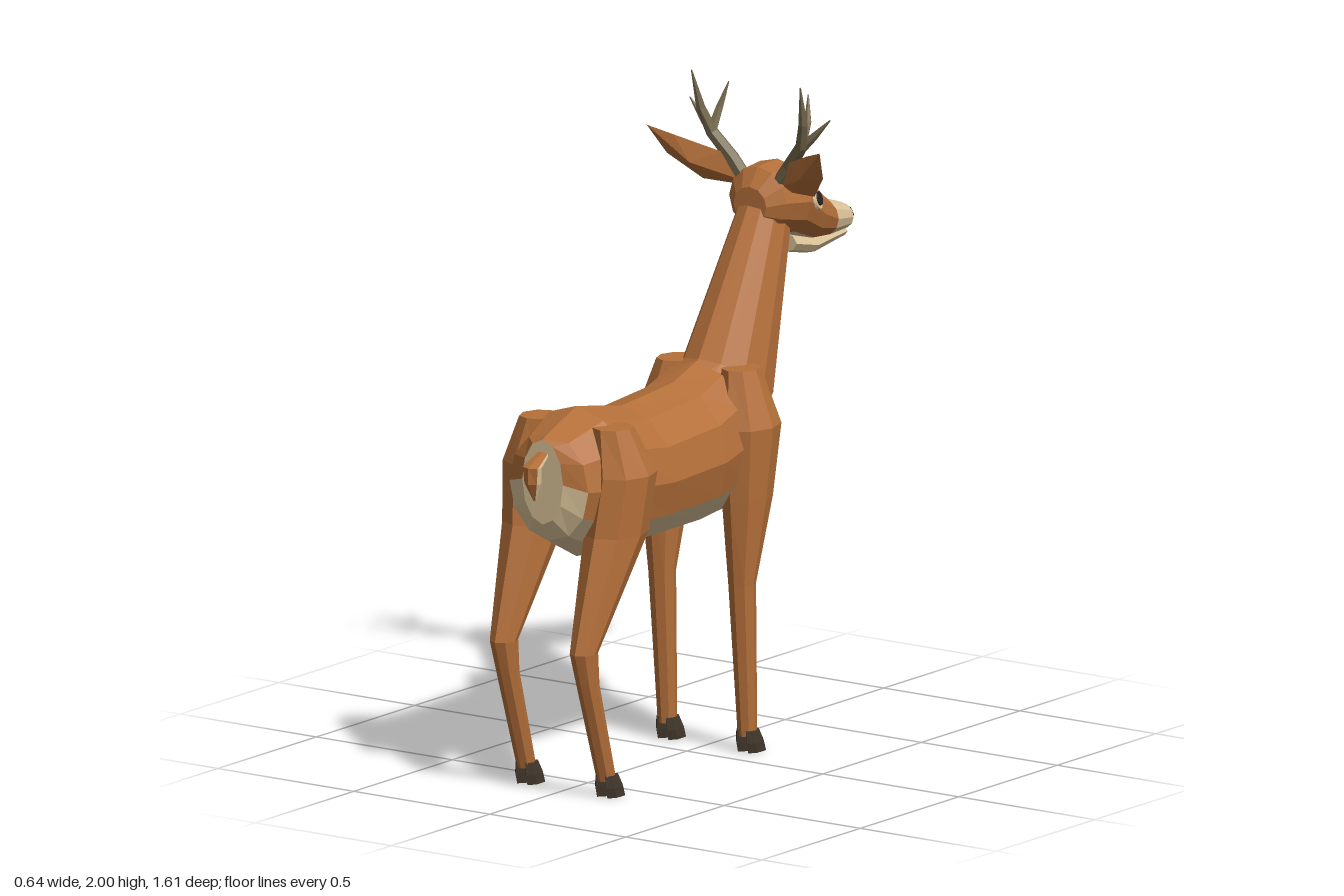
import * as THREE from 'three';

const mat = (name, color) => Object.assign(new THREE.MeshStandardMaterial({ color }), { name });
const V = (x, y, z) => new THREE.Vector3(x, y, z);

// Flat-shaded closed mesh from triangles sorted by material; faces are turned outward
function solid(name, mats, lists) {
  const tris = lists.flat();
  const volume = tris.reduce((s, [a, b, c]) => s + a.dot(b.clone().cross(c)), 0);
  const points = tris.flatMap(([a, b, c]) => (volume < 0 ? [a, c, b] : [a, b, c]));
  const geo = new THREE.BufferGeometry().setFromPoints(points);
  let start = 0;
  lists.forEach((list, m) => {
    if (list.length) geo.addGroup(start, list.length * 3, m);
    start += list.length * 3;
  });
  geo.computeVertexNormals();
  const mesh = new THREE.Mesh(geo, mats);
  mesh.name = name;
  return mesh;
}

// Skin over rings; pick(i, j) gives the material index of segment i, side j (i = -1 and last are caps)
function loft(name, mats, rings, pick = () => 0) {
  const lists = mats.map(() => []);
  const n = rings[0].length, last = rings.length - 1;
  for (let i = 0; i < last; i++) {
    for (let j = 0; j < n; j++) {
      const k = (j + 1) % n, [p, q] = [rings[i], rings[i + 1]];
      lists[pick(i, j)].push([p[j], p[k], q[k]], [p[j], q[k], q[j]]);
    }
  }
  for (let j = 1; j < n - 1; j++) {
    const [p, q] = [rings[0], rings[last]];
    lists[pick(-1, j)].push([p[0], p[j + 1], p[j]]);
    lists[pick(last, j)].push([q[0], q[j], q[j + 1]]);
  }
  return solid(name, mats, lists);
}

// Elliptic ring around c with half axes a and b
const ring = (c, a, b, n) => Array.from({ length: n }, (_, j) => {
  const t = (j / n) * Math.PI * 2;
  return c.clone().addScaledVector(a, Math.cos(t)).addScaledVector(b, Math.sin(t));
});
const ringZ = ([z, y, rx, ry], n = 12) => ring(V(0, y, z), V(0, ry, 0), V(rx, 0, 0), n);
const ringY = ([y, x, z, rx, rz], s, n = 8) => ring(V(x * s, y, z), V(0, 0, rz), V(rx, 0, 0), n);

// Tapered branch through points [x, y, z, radius]
function branch(name, m, pts, s) {
  const c = pts.map((p) => V(p[0] * s, p[1], p[2]));
  return loft(name, [m], c.map((p, i) => {
    const t = c[Math.min(i + 1, c.length - 1)].clone().sub(c[Math.max(i - 1, 0)]).normalize();
    const a = V(0, 0, 1).cross(t).normalize();
    const b = t.clone().cross(a);
    return ring(p, a.multiplyScalar(pts[i][3]), b.multiplyScalar(pts[i][3]), 6);
  }));
}

export function createModel() {
  const coat = mat('coat', 0xb5703a);
  const cream = mat('cream', 0xdcc49a);
  const horn = mat('horn', 0x75684c);
  const hoof = mat('hoof', 0x42372c);
  const dark = mat('dark', 0x2a2320);
  const fur = [coat, cream];
  const deer = new THREE.Group();
  deer.name = 'deer';
  const under = (j) => (j >= 4 && j <= 7 ? 1 : 0);

  // Torso with pale belly and rump patch
  deer.add(loft('torso', fur, [
    [0.732, 0.965, 0.075, 0.13], [0.7, 0.945, 0.145, 0.165], [0.56, 0.935, 0.2, 0.23],
    [0.33, 0.915, 0.2, 0.207], [0.07, 0.925, 0.2, 0.217], [-0.05, 0.95, 0.19, 0.235],
    [-0.2, 0.95, 0.13, 0.17],
  ].map((r) => ringZ(r)), (i, j) => (i < 0 || (i === 0 && j >= 3 && j <= 8) ? 1 : i > 5 ? 0 : under(j))));

  // Neck: [back y, back z, front y, front z, half width]
  deer.add(loft('neck', fur, [
    [1.13, 0.02, 0.86, -0.265, 0.12], [1.19, -0.06, 1.02, -0.35, 0.135],
    [1.61, -0.31, 1.5, -0.47, 0.08],
  ].map(([by, bz, fy, fz, w]) => ring(V(0, (by + fy) / 2, (bz + fz) / 2),
    V(0, (by - fy) / 2, (bz - fz) / 2), V(w, 0, 0), 12)), (i, j) => (i < 0 ? 1 : under(j))));

  // Head with pale muzzle and chin
  deer.add(loft('head', fur, [
    [-0.32, 1.61, 0.06, 0.055], [-0.36, 1.62, 0.105, 0.1], [-0.46, 1.61, 0.125, 0.115],
    [-0.58, 1.545, 0.092, 0.09], [-0.685, 1.505, 0.063, 0.058], [-0.785, 1.49, 0.045, 0.04],
  ].map((r) => ringZ(r)), (i, j) => (i >= 4 || (i >= 2 && (j === 5 || j === 6)) ? 1 : 0)));
  deer.add(loft('jaw', [cream], [
    [-0.49, 1.465, 0.05, 0.03], [-0.6, 1.44, 0.05, 0.03], [-0.775, 1.447, 0.03, 0.017],
  ].map((r) => ringZ(r, 8))));
  deer.add(loft('nose', [dark], [
    [-0.77, 1.5, 0.035, 0.022], [-0.792, 1.495, 0.042, 0.03], [-0.808, 1.488, 0.02, 0.014],
  ].map((r) => ringZ(r, 8))));

  // Tail, coat-coloured along its outer ridge
  deer.add(loft('tail', fur, [
    [1.06, 0.715, 0.02, 0.012], [1.02, 0.785, 0.032, 0.02], [0.97, 0.78, 0.026, 0.025],
    [0.915, 0.772, 0.004, 0.004],
  ].map((r) => ringY([r[0], 0, r[1], r[2], r[3]], 1, 6)), (i, j) => (j === 0 || j === 5 ? 0 : 1)));

  for (const [s, side] of [[1, 'left'], [-1, 'right']]) {
    // Legs: [y, x, z, half width, half depth]
    const legs = {
      FrontLeg: [[1.17, 0.12, -0.11, 0.055, 0.065], [1.0, 0.152, -0.11, 0.085, 0.11],
        [0.78, 0.15, -0.1, 0.07, 0.087], [0.52, 0.147, -0.078, 0.042, 0.042],
        [0.05, 0.147, -0.105, 0.029, 0.03]],
      HindLeg: [[1.12, 0.135, 0.56, 0.06, 0.065], [0.98, 0.165, 0.542, 0.088, 0.112],
        [0.8, 0.15, 0.565, 0.088, 0.112], [0.46, 0.147, 0.725, 0.04, 0.047],
        [0.36, 0.147, 0.705, 0.034, 0.036], [0.05, 0.147, 0.61, 0.029, 0.03]],
    };
    for (const [name, rows] of Object.entries(legs)) {
      deer.add(loft(side + name, [coat], rows.map((r) => ringY(r, s))));
      // Two-toed hoof
      const z = rows[rows.length - 1][2];
      for (const dx of [-0.019, 0.019]) {
        deer.add(loft(side + name + 'Hoof', [hoof], [
          [0, 0.147 + dx, z - 0.022, 0.02, 0.044], [0.03, 0.147 + dx, z - 0.013, 0.02, 0.042],
          [0.068, 0.147 + dx * 0.85, z - 0.002, 0.017, 0.032],
        ].map((r) => ringY(r, s, 6))));
      }
    }

    // Ear: rim from base round the upper edge to the tip and back, cupped forward
    const rim = [[0.085, 1.67, -0.37], [0.125, 1.752, -0.345], [0.245, 1.802, -0.27],
      [0.318, 1.828, -0.235], [0.287, 1.735, -0.295], [0.205, 1.655, -0.365], [0.11, 1.65, -0.385],
    ].map(([x, y, z]) => V(x * s, y, z));
    const back = V(0.2 * s, 1.718, -0.29), inner = V(0.2 * s, 1.728, -0.315);
    const fan = (hub, flip) => rim.map((p, i) => {
      const q = rim[(i + 1) % rim.length];
      return flip ? [hub, q, p] : [hub, p, q];
    });
    deer.add(solid(side + 'Ear', fur, [fan(back, false), fan(inner, true)]));

    // Antler: main beam and two tines
    deer.add(branch(side + 'AntlerBeam', horn, [[0.06, 1.67, -0.38, 0.024], [0.105, 1.73, -0.375, 0.023],
      [0.165, 1.805, -0.355, 0.02], [0.188, 1.88, -0.33, 0.015], [0.2, 2.0, -0.3, 0.002]], s));
    deer.add(branch(side + 'AntlerInnerTine', horn, [[0.165, 1.81, -0.355, 0.016],
      [0.162, 1.875, -0.39, 0.012], [0.146, 1.95, -0.415, 0.002]], s));
    deer.add(branch(side + 'AntlerOuterTine', horn, [[0.16, 1.795, -0.357, 0.016],
      [0.205, 1.84, -0.365, 0.012], [0.258, 1.895, -0.372, 0.002]], s));

    // Eye: thin pale patch with a dark eye on it
    const normal = V(0.91 * s, 0.26, -0.385).normalize();
    for (const [name, m, r, lift] of [['EyePatch', cream, 0.041, 0.002], ['Eye', dark, 0.027, 0.007]]) {
      const eye = new THREE.Mesh(new THREE.CylinderGeometry(r * 0.92, r, 0.009, 10).scale(0.85, 1, 1), m);
      eye.name = side + name;
      const along = V(0, 0, 1).addScaledVector(normal, -normal.z).normalize();
      const across = normal.clone().cross(along);
      eye.setRotationFromMatrix(new THREE.Matrix4().makeBasis(across, normal, along));
      eye.position.set(0.101 * s, 1.604, -0.521).addScaledVector(normal, lift);
      deer.add(eye);
    }
  }
  return deer;
}
